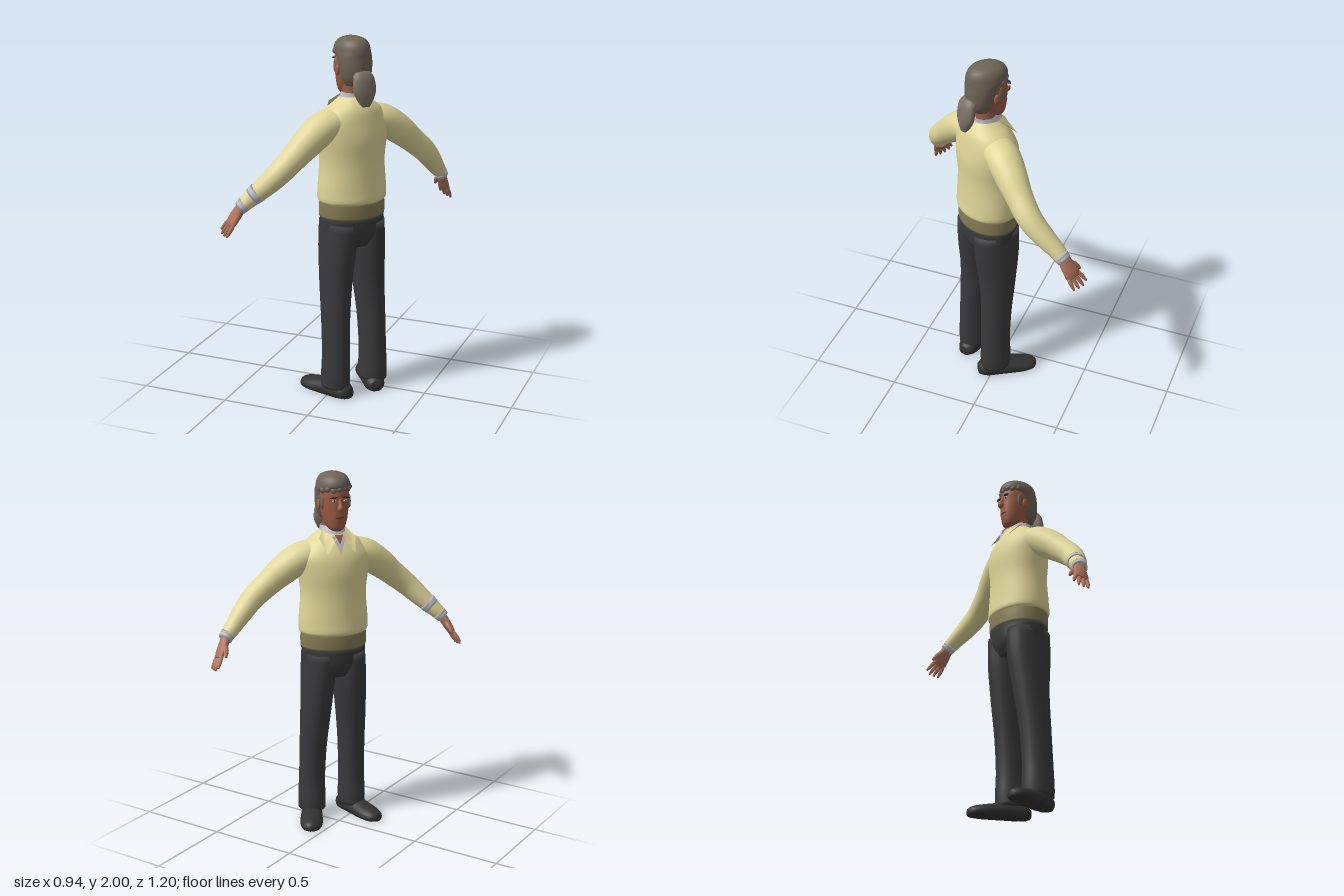
import * as THREE from 'three';

const mat = (name, color, side = THREE.FrontSide) => {
  const m = new THREE.MeshStandardMaterial({ color, side });
  m.name = name;
  return m;
};
const X = new THREE.Vector3(1, 0, 0), Y = new THREE.Vector3(0, 1, 0), Z = new THREE.Vector3(0, 0, 1);

// Smooth closed skin over elliptical rings [x, y, z, halfWidth, halfDepth].
// ref is the depth axis; fixedT keeps every ring parallel.
function loft(rings, { ref = Z, fixedT = null, seg = 24, steps = 4, caps = true } = {}) {
  const curve = (f) => new THREE.CatmullRomCurve3(rings.map(f), false, 'catmullrom', 0.5);
  const centre = curve((r) => new THREE.Vector3(r[0], r[1], r[2]));
  const size = curve((r) => new THREE.Vector3(r[3], r[4], 0));
  const n = (rings.length - 1) * steps, pos = [], idx = [];
  const row = (t, k) => {
    const c = centre.getPoint(t), s = size.getPoint(t);
    const T = fixedT || centre.getTangent(t);
    const V = ref.clone().addScaledVector(T, -ref.dot(T)).normalize();
    const U = new THREE.Vector3().crossVectors(T, V);
    for (let j = 0; j < seg; j++) {
      const a = (j / seg) * Math.PI * 2;
      const p = c.clone().addScaledVector(U, Math.cos(a) * s.x * k).addScaledVector(V, Math.sin(a) * s.y * k);
      pos.push(p.x, p.y, p.z);
    }
  };
  if (caps) row(0, 0.001);
  for (let i = 0; i <= n; i++) row(i / n, 1);
  if (caps) row(1, 0.001);
  const rows = pos.length / 3 / seg;
  for (let i = 0; i < rows - 1; i++) {
    for (let j = 0; j < seg; j++) {
      const a = i * seg + j, b = i * seg + ((j + 1) % seg), c = a + seg, d = b + seg;
      idx.push(a, c, b, b, c, d);
    }
  }
  const g = new THREE.BufferGeometry();
  g.setAttribute('position', new THREE.Float32BufferAttribute(pos, 3));
  g.setIndex(idx);
  g.computeVertexNormals();
  return g;
}

// Flat convex patch from corner points
function patch(points) {
  const g = new THREE.BufferGeometry();
  g.setAttribute('position', new THREE.Float32BufferAttribute(points.flat(), 3));
  const idx = [];
  for (let i = 1; i < points.length - 1; i++) idx.push(0, i, i + 1);
  g.setIndex(idx);
  g.computeVertexNormals();
  return g;
}

export function createModel() {
  const sweater = mat('sweaterYellow', 0xe0d698, THREE.DoubleSide);
  const olive = mat('waistbandOlive', 0x857b54);
  const trouser = mat('trouserCharcoal', 0x3a3a3c);
  const shoe = mat('shoeBlack', 0x323233);
  const skin = mat('handSkin', 0xb0735a);
  const faceSkin = mat('faceSkin', 0x9a5c44);
  const hair = mat('hairGrey', 0x6e6457);
  const tail = mat('ponytailGrey', 0x7b7165);
  const shirt = mat('shirtLavender', 0xbcbcc8, THREE.DoubleSide);
  const dark = mat('featureDark', 0x35261f);

  const body = new THREE.Group();
  body.name = 'figure';
  const add = (name, geo, m, parent = body) => {
    const mesh = new THREE.Mesh(geo, m);
    mesh.name = name;
    parent.add(mesh);
    return mesh;
  };
  const ball = (name, m, p, s) => {
    const b = add(name, new THREE.SphereGeometry(1, 16, 12), m);
    b.position.set(...p);
    b.scale.set(...s);
    return b;
  };
  const level = { fixedT: Y, seg: 36 };

  // Torso and waist
  add('sweaterBody', loft([
    [0, 1.118, 0, 0.184, 0.146], [0, 1.135, 0, 0.196, 0.158], [0, 1.2, 0, 0.196, 0.153], [0, 1.34, 0, 0.186, 0.147],
    [0, 1.46, 0, 0.2, 0.152], [0, 1.55, 0, 0.208, 0.14], [0, 1.62, -0.01, 0.16, 0.116],
    [0, 1.66, -0.012, 0.105, 0.092], [0, 1.692, -0.015, 0.066, 0.066]], level), sweater);
  add('waistband', loft([[0, 1.036, 0, 0.187, 0.149], [0, 1.08, 0, 0.188, 0.15], [0, 1.125, 0, 0.186, 0.148]], level), olive);
  add('trouserHips', loft([[0, 0.87, 0, 0.14, 0.105], [0, 0.94, 0, 0.178, 0.14], [0, 1.045, 0, 0.183, 0.146]], level), trouser);

  // Collar and shirt front
  add('shirtCollar', loft([[0, 1.66, -0.01, 0.08, 0.085], [0, 1.69, -0.01, 0.071, 0.073], [0, 1.712, -0.018, 0.065, 0.064]],
    { ...level, caps: false }), shirt);
  add('shirtFront', patch([[-0.04, 1.665, 0.094], [0, 1.575, 0.136], [0.04, 1.665, 0.094]]), shirt);
  add('throat', patch([[-0.024, 1.672, 0.094], [0, 1.625, 0.117], [0.024, 1.672, 0.094]]), faceSkin);

  for (const s of [1, -1]) {
    const side = s > 0 ? 'left' : 'right';
    const flip = (pts) => pts.map(([x, ...r]) => [x * s, ...r]);

    add(side + 'CollarFlap', patch(flip([[0.062, 1.705, 0.01], [0.016, 1.652, 0.102], [0.078, 1.578, 0.138], [0.104, 1.655, 0.07]])), sweater);

    // Sleeve and cuff
    add(side + 'Sleeve', loft(flip([
      [0.06, 1.57, -0.01, 0.07, 0.085], [0.18, 1.54, -0.015, 0.084, 0.094], [0.28, 1.475, -0.025, 0.082, 0.085],
      [0.36, 1.41, -0.03, 0.071, 0.072], [0.45, 1.335, -0.028, 0.064, 0.066], [0.52, 1.267, 0, 0.056, 0.059],
      [0.59, 1.198, 0.04, 0.045, 0.048], [0.63, 1.16, 0.06, 0.038, 0.042]])), sweater);
    add(side + 'Cuff', loft(flip([[0.618, 1.171, 0.054, 0.041, 0.044], [0.642, 1.146, 0.066, 0.036, 0.04]])), shirt);
    if (s > 0) {
      add('leftCuffBand', loft([[0.557, 1.232, 0.021, 0.053, 0.056], [0.583, 1.206, 0.036, 0.049, 0.052]]), shirt);
    }

    // Hand: palm, four fingers and thumb
    const hand = new THREE.Group();
    hand.name = side + 'Hand';
    body.add(hand);
    add('palm', loft(flip([[0.63, 1.16, 0.06, 0.026, 0.03], [0.652, 1.12, 0.076, 0.024, 0.04],
      [0.675, 1.078, 0.09, 0.02, 0.046], [0.688, 1.052, 0.098, 0.013, 0.041]]), { seg: 16 }), skin, hand);
    for (let k = -1.5; k <= 1.5; k++) {
      const len = 0.088 - Math.abs(k - 0.3) * 0.011;
      const pt = (d, spread, r) => [0.682 - 0.18 * k * spread + 0.45 * d, 1.062 + 0.33 * k * spread - 0.8 * d,
        0.095 + 0.93 * k * spread + 0.36 * d, r, r];
      add('finger', loft(flip([pt(0, 0.021, 0.012), pt(len * 0.55, 0.026, 0.011), pt(len, 0.029, 0.006)]), { seg: 8 }), skin, hand);
    }
    add('thumb', loft(flip([[0.648, 1.125, 0.09, 0.016, 0.016], [0.652, 1.1, 0.127, 0.014, 0.014], [0.662, 1.07, 0.153, 0.007, 0.007]]),
      { ref: X, seg: 8 }), skin, hand);

    // Trouser leg
    add(side + 'TrouserLeg', loft(flip([
      [0.085, 1.0, 0, 0.093, 0.135], [0.093, 0.85, 0, 0.093, 0.13], [0.105, 0.65, -0.005, 0.085, 0.106],
      [0.115, 0.45, -0.02, 0.077, 0.091], [0.12, 0.25, -0.03, 0.074, 0.087], [0.122, 0.12, -0.03, 0.078, 0.091],
      [0.122, 0.055, -0.03, 0.077, 0.09]])), trouser);

    // Shoe with a flat underside, toe turned out
    const shoeGeo = loft([
      [0, 0.025, -0.105, 0.03, 0.03], [0, 0.03, -0.07, 0.055, 0.05], [0, 0.03, 0, 0.058, 0.065], [0, 0.025, 0.09, 0.063, 0.05],
      [0, 0.018, 0.16, 0.064, 0.044], [0, 0.015, 0.215, 0.048, 0.034], [0, 0.014, 0.24, 0.018, 0.018]], { ref: Y, fixedT: Z });
    const p = shoeGeo.attributes.position;
    for (let i = 0; i < p.count; i++) p.setY(i, Math.max(0, p.getY(i)));
    shoeGeo.computeVertexNormals();
    const sh = add(side + 'Shoe', shoeGeo, shoe);
    sh.position.set(0.122 * s, 0, -0.03);
    sh.rotation.y = 0.35 * s;

    // Ear, eye and brow
    ball(side + 'Ear', faceSkin, [0.087 * s, 1.828, 0.01], [0.01, 0.03, 0.019]);
    ball(side + 'Eye', shirt, [0.032 * s, 1.858, 0.108], [0.013, 0.006, 0.006]);
    ball(side + 'Pupil', dark, [0.032 * s, 1.858, 0.112], [0.005, 0.005, 0.004]);
    ball(side + 'Brow', dark, [0.035 * s, 1.877, 0.11], [0.022, 0.005, 0.008]).rotation.z = -0.1 * s;
    ball(side + 'Sideburn', hair, [0.077 * s, 1.845, 0.04], [0.009, 0.04, 0.018]);
  }

  // Neck and head
  add('neck', loft([[0, 1.62, -0.005, 0.06, 0.065], [0, 1.7, -0.003, 0.056, 0.058], [0, 1.78, 0, 0.056, 0.06]], level), faceSkin);
  add('head', loft([
    [0, 1.69, 0.055, 0.026, 0.032], [0, 1.708, 0.045, 0.047, 0.056], [0, 1.75, 0.03, 0.064, 0.08], [0, 1.8, 0.02, 0.074, 0.093],
    [0, 1.85, 0.013, 0.08, 0.1], [0, 1.9, 0.008, 0.08, 0.104], [0, 1.95, 0, 0.068, 0.09], [0, 1.98, 0, 0.04, 0.055]], level), faceSkin);
  add('nose', loft([[0, 1.868, 0.105, 0.008, 0.01], [0, 1.84, 0.116, 0.011, 0.014], [0, 1.817, 0.121, 0.018, 0.02],
    [0, 1.806, 0.113, 0.011, 0.011]], { seg: 12 }), faceSkin);
  ball('mouth', dark, [0, 1.768, 0.108], [0.025, 0.004, 0.006]);

  // Swept hair, fringe tufts and ponytail
  add('hair', loft([
    [0, 1.75, -0.04, 0.058, 0.055], [0, 1.79, -0.04, 0.079, 0.072], [0, 1.85, -0.036, 0.089, 0.08], [0, 1.9, -0.02, 0.092, 0.093],
    [0, 1.925, 0, 0.092, 0.113], [0, 1.96, 0.002, 0.084, 0.107], [0, 1.986, 0, 0.064, 0.082], [0, 2.0, 0, 0.03, 0.04]], level), hair);
  for (let i = -3; i <= 3; i++) {
    const a = i * 0.36;
    ball('fringeTuft', hair, [Math.sin(a) * 0.08, 1.918 + 0.006 * (i % 2), Math.cos(a) * 0.1], [0.02, 0.018, 0.018]);
  }
  add('ponytail', loft([
    [0, 1.825, -0.1, 0.045, 0.022], [0, 1.79, -0.116, 0.062, 0.032], [0, 1.73, -0.126, 0.066, 0.034],
    [0, 1.685, -0.133, 0.048, 0.027], [0, 1.648, -0.14, 0.022, 0.013]]), tail);
  add('hairTie', loft([[0, 1.803, -0.108, 0.059, 0.03], [0, 1.818, -0.104, 0.052, 0.027]], { fixedT: Y }), tail);

  // Turn the figure to face back and to one side
  body.rotation.y = Math.PI + Math.atan2(0.8, 0.6);
  body.position.set(0.085, 0, 0.07);
  const model = new THREE.Group();
  model.name = 'standingMan';
  model.add(body);
  return model;
}
